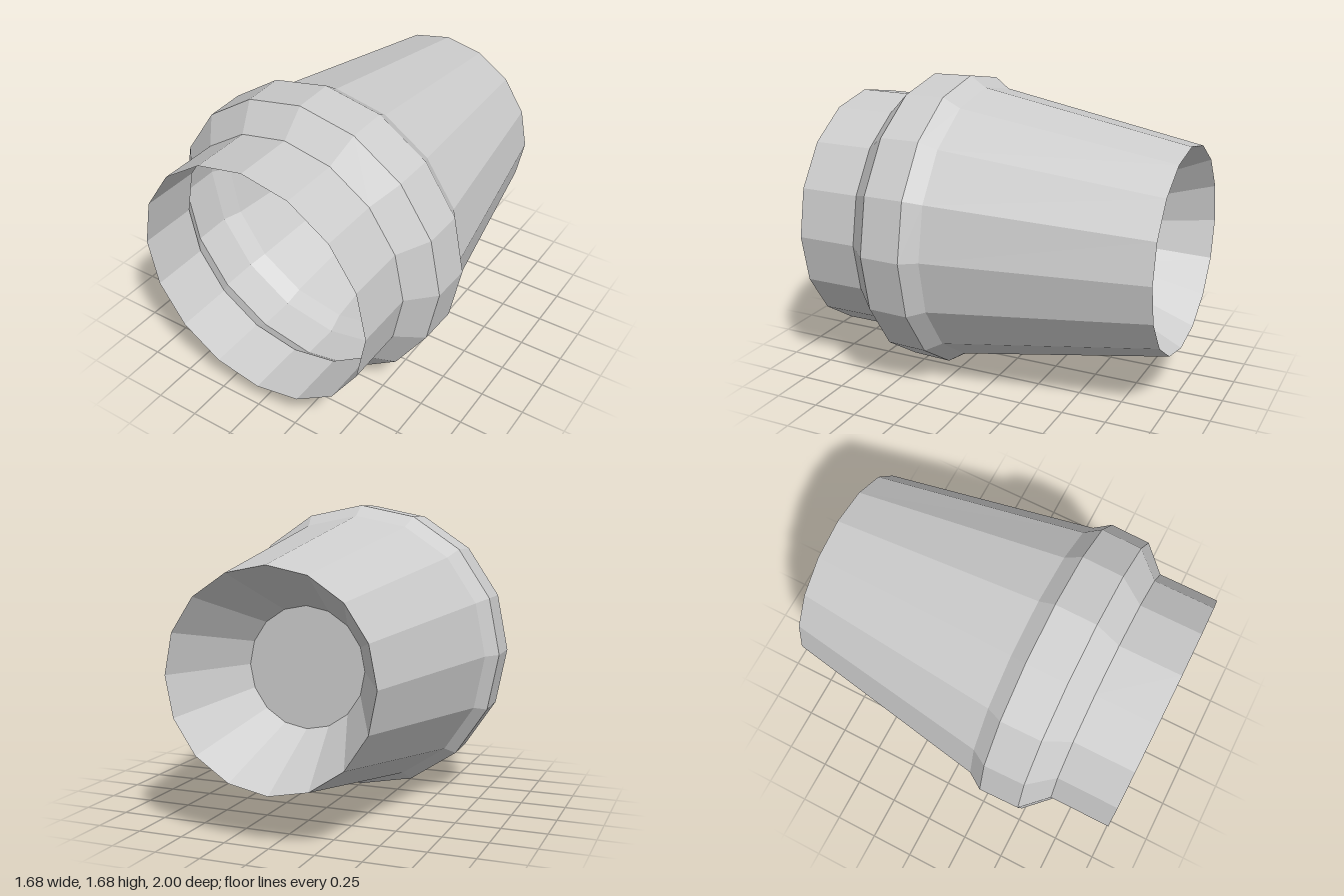
import * as THREE from 'three';

const SIDES = 16;
const CENTRE_Y = 0.842;

export function createModel() {
  const group = new THREE.Group();
  group.name = 'nozzle';

  const grey = new THREE.MeshStandardMaterial({
    color: 0xcccccc, flatShading: true, side: THREE.DoubleSide,
  });
  grey.name = 'plain grey';

  const add = (name, geometry) => {
    const mesh = new THREE.Mesh(geometry, grey);
    mesh.name = name;
    mesh.position.y = CENTRE_Y;
    group.add(mesh);
  };

  // Thin faceted shell turned about the z axis from [radius, z] pairs, back to front
  const shell = (name, profile) => {
    const points = profile.map(([r, z]) => new THREE.Vector2(r, z));
    add(name, new THREE.LatheGeometry(points, SIDES).rotateX(Math.PI / 2));
  };

  // Funnel sunk into the back end, closed by a flat disc
  const funnelZ = -0.52;
  shell('backFunnel', [[0.33, funnelZ], [0.573, -1]]);
  add('funnelFloor', new THREE.CircleGeometry(0.33, SIDES).translate(0, 0, funnelZ));

  // Tapered body
  shell('taperedBody', [[0.573, -1], [0.782, 0.2]]);

  // Raised collar with a bevel on each side
  shell('collar', [[0.782, 0.2], [0.842, 0.29], [0.836, 0.52], [0.703, 0.655]]);

  // Open front socket
  shell('frontSocket', [[0.703, 0.655], [0.703, 1]]);

  return group;
}
